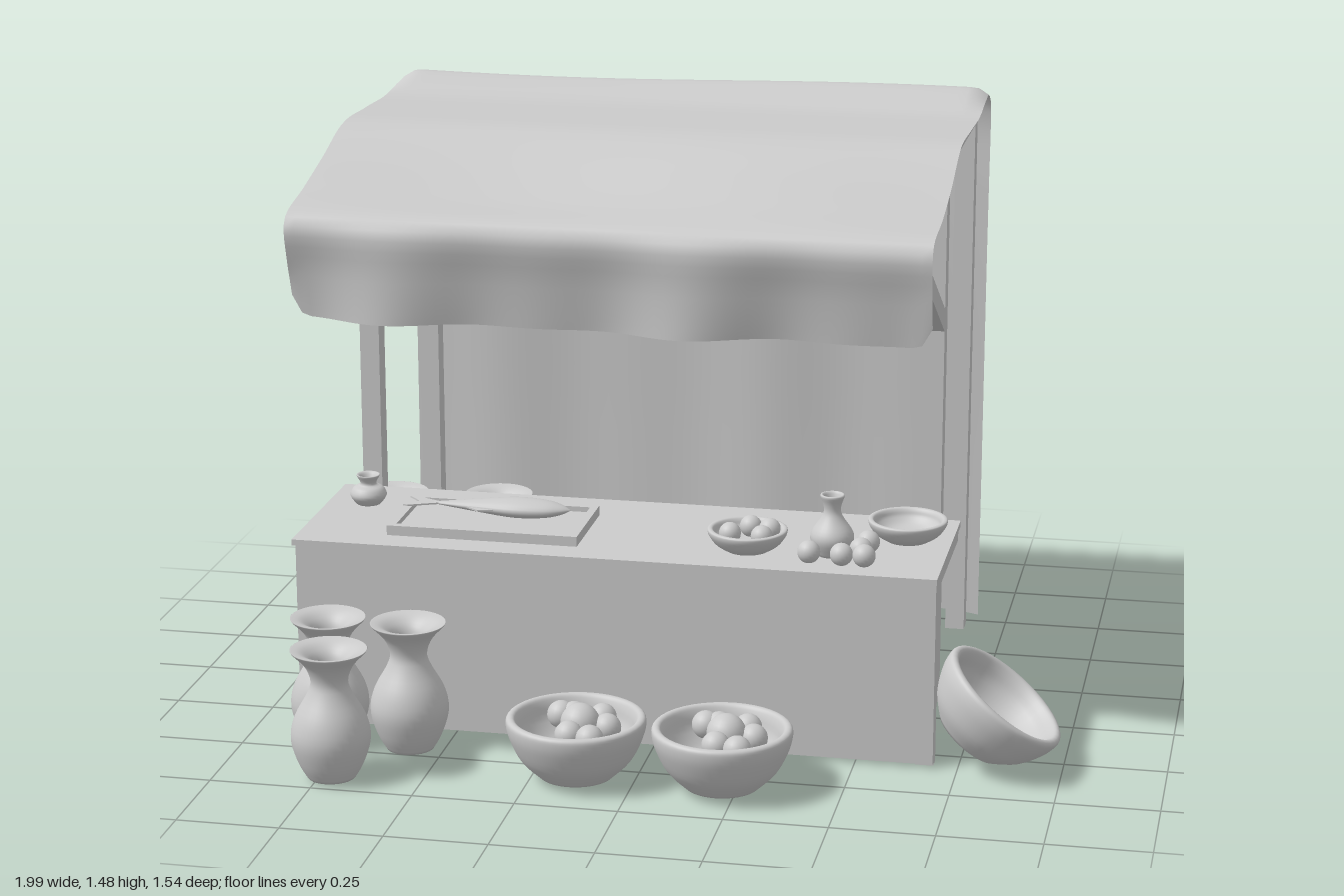
import * as THREE from 'three';

const grey = new THREE.MeshStandardMaterial({ color: 0xcccccc });
const greyThin = new THREE.MeshStandardMaterial({ color: 0xcccccc, side: THREE.DoubleSide });

export function createModel() {
  const model = new THREE.Group();

  function add(name, geometry, x = 0, y = 0, z = 0, parent = model, material = grey) {
    const mesh = new THREE.Mesh(geometry, material);
    mesh.name = name;
    mesh.position.set(x, y, z);
    parent.add(mesh);
    return mesh;
  }
  // Box given by its limits on each axis
  function box(name, x0, x1, y0, y1, z0, z1) {
    return add(name, new THREE.BoxGeometry(x1 - x0, y1 - y0, z1 - z0), (x0 + x1) / 2, (y0 + y1) / 2, (z0 + z1) / 2);
  }
  const curvePoints = (pts, n) =>
    new THREE.SplineCurve(pts.map(p => new THREE.Vector2(...p))).getPoints(n).map(p => p.setX(Math.max(p.x, 0)));

  // Timber frame: posts, side beams and awning braces on both sides
  for (const x of [-0.825, 0.62]) {
    const [a, b] = [x - 0.025, x + 0.025];
    box('middlePost', a, b, 0, 1.43, -0.152, -0.1);
    box('backPost', a, b, 0, 1.43, -0.725, -0.675);
    box('sideBeam', a, b, 1.38, 1.43, -0.675, -0.152);
    box('counterBackLeg', a, b, 0, 0.475, -0.1, -0.062);
    const brace = add('awningBrace', new THREE.BoxGeometry(0.05, 0.05, 0.575), x, 1.14, 0.14);
    brace.rotation.x = -Math.atan2(0.28, 0.5);
  }
  box('middleCrossBeam', -0.8, 0.595, 1.38, 1.43, -0.15, -0.1);
  box('backCrossBeam', -0.8, 0.595, 1.38, 1.43, -0.725, -0.675);

  // Cloth: profile from the front drape over the roof to the back hanging
  const profile = new THREE.CatmullRomCurve3([
    [1.06, 0.385], [1.18, 0.4], [1.285, 0.415], [1.312, 0.395], [1.342, 0.24], [1.382, 0.08], [1.438, -0.1],
    [1.439, -0.3], [1.437, -0.52], [1.46, -0.62], [1.468, -0.7], [1.44, -0.748], [1.38, -0.764],
    [1.2, -0.756], [1.0, -0.75], [0.5, -0.748], [0.02, -0.745],
  ].map(([y, z]) => new THREE.Vector3(0, y, z)), false, 'centripetal');
  const cols = 64, rows = 110;
  const cloth = new THREE.PlaneGeometry(1, 1, cols, rows);
  const pos = cloth.attributes.position;
  for (let i = 0; i < pos.count; i++) {
    const u = pos.getX(i) + 0.5, t = pos.getY(i) + 0.5;
    const p = profile.getPointAt(t);
    const x = -0.88 + 1.555 * u;
    let { y, z } = p;
    const w = Math.sin(x * 9 + 1) * 0.6 + Math.sin(x * 17) * 0.4;
    // Distance into the last 0.05 before either side edge, 0 to 1
    const e = Math.max(0, Math.abs(u - 0.5) * 1.555 - 0.7275) / 0.05;
    const corner = 1 - Math.sqrt(Math.max(0, 1 - e * e));
    if (z > 0.38 && y < 1.31 || y < 1.2 && z > 0) {
      // Front drape folds, with rounded lower corners
      const d = (1.31 - y) / 0.25;
      z += w * 0.038 * d;
      y += 0.05 * corner * Math.max(0, d * 2 - 1);
    } else if (z < -0.73 && y < 1.42) {
      // Back folds
      const d = Math.min(1, (1.42 - y) / 0.4);
      z += w * 0.011 * d;
      y += Math.sin(x * 11 + 2) * 0.012 * (1 - y / 1.42);
    } else {
      // Gentle sag of the awning, uneven ridge with drooping ends
      const k = Math.sin(Math.PI * THREE.MathUtils.clamp((0.39 - z) / 0.49, 0, 1));
      y += 0.012 * k * Math.sin(x * 5 + 0.5);
      if (z < -0.52) {
        const k2 = Math.min(1, (-0.52 - z) / 0.13) * THREE.MathUtils.clamp((y - 1.42) / 0.03, 0, 1);
        y += k2 * (0.007 * Math.sin(x * 3.5) - 0.018 * corner);
      }
    }
    pos.setXYZ(i, x, y, z);
  }
  cloth.computeVertexNormals();
  add('clothCanopy', cloth, 0, 0, 0, model, greyThin);

  // Counter
  box('counterTop', -0.9, 0.695, 0.475, 0.49, -0.105, 0.365);
  box('counterFrontPanel', -0.9, 0.69, 0.008, 0.475, 0.32, 0.335);
  for (const x of [-0.9, 0.645]) {
    box('counterFrontLeg', x, x + 0.045, 0, 0.475, 0.285, 0.32);
    box('counterSideRail', x, x + 0.045, 0.44, 0.475, -0.1, 0.285);
  }
  box('counterBackRail', -0.855, 0.645, 0.44, 0.475, -0.1, -0.065);

  // Vases
  const vaseGeo = new THREE.LatheGeometry([new THREE.Vector2(0, 0), ...curvePoints([
    [0.058, 0], [0.08, 0.04], [0.096, 0.1], [0.085, 0.155], [0.055, 0.21], [0.045, 0.245],
    [0.06, 0.285], [0.09, 0.318], [0.088, 0.322], [0.06, 0.312], [0.035, 0.28], [0.028, 0.2],
  ], 40), new THREE.Vector2(0, 0.17)], 32);
  for (const [x, z] of [[-0.785, 0.455], [-0.583, 0.455], [-0.718, 0.675], [-0.902, -0.57], [-0.62, -0.605]])
    add('vase', vaseGeo, x, 0.005, z);

  // Bowls
  const bowlGeo = new THREE.LatheGeometry([new THREE.Vector2(0, 0), ...curvePoints([
    [0.09, 0], [0.135, 0.045], [0.162, 0.1], [0.169, 0.135], [0.163, 0.147], [0.15, 0.146],
    [0.141, 0.128], [0.13, 0.09], [0.09, 0.045], [0, 0.035],
  ], 36)], 40);
  const ball = (r, x, y, z, parent) => add('fruit', new THREE.SphereGeometry(r, 20, 14), x, y, z, parent);
  for (const x of [-0.143, 0.213]) {
    const group = new THREE.Group();
    group.name = 'fruitBowl';
    group.position.set(x, 0.008, 0.555);
    model.add(group);
    add('bowl', bowlGeo, 0, 0, 0, group);
    for (const [bx, bz] of [[-0.053, -0.07], [-0.02, -0.07], [0.05, -0.07], [0.075, -0.005], [-0.005, 0.06], [0.05, 0.078]])
      ball(0.034, bx, 0.122, bz, group);
    ball(0.048, 0.01, 0.131, 0, group);
  }
  const leaning = add('leaningBowl', bowlGeo, 0.773, 0.075, 0.302);
  leaning.rotation.z = -0.665;

  // Small bowls, jar, pot and fruit on the counter
  for (const [x, z] of [[0.212, 0.22], [0.585, 0.07]])
    add('smallBowl', bowlGeo, x, 0.49, z).scale.set(0.58, 0.37, 0.58);
  for (const [x, z] of [[-0.04, 0.02], [0.04, 0.03], [0, -0.045], [0.05, -0.03]])
    ball(0.027, 0.212 + x, 0.535, 0.22 + z);
  const jarGeo = new THREE.LatheGeometry([new THREE.Vector2(0, 0), ...curvePoints([
    [0.035, 0], [0.052, 0.035], [0.05, 0.06], [0.03, 0.09], [0.021, 0.11], [0.023, 0.13],
    [0.03, 0.15], [0.022, 0.15], [0.014, 0.12],
  ], 28), new THREE.Vector2(0, 0.1)], 28);
  add('jar', jarGeo, 0.42, 0.49, 0.22);
  for (const [x, z] of [[0.375, 0.295], [0.455, 0.3], [0.495, 0.25], [0.51, 0.3], [0.505, 0.19]])
    ball(0.028, x, 0.518, z);
  const potGeo = new THREE.LatheGeometry([new THREE.Vector2(0, 0), ...curvePoints([
    [0.03, 0], [0.046, 0.022], [0.038, 0.042], [0.02, 0.053], [0.03, 0.075], [0.022, 0.073], [0.013, 0.055],
  ], 24), new THREE.Vector2(0, 0.05)], 24);
  add('smallPot', potGeo, -0.796, 0.49, 0.04);

  // Serving tray with a raised rim
  box('trayBase', -0.68, -0.2, 0.49, 0.502, 0.025, 0.285);
  for (const z of [0.025, 0.265]) box('trayRim', -0.68, -0.2, 0.502, 0.515, z, z + 0.02);
  for (const x of [-0.68, -0.22]) box('trayRim', x, x + 0.02, 0.502, 0.515, 0.045, 0.265);

  // Fish: mouth at the origin, body along -y, broad side facing x
  function makeFish(name, length, width) {
    const fish = new THREE.Group();
    fish.name = name;
    const body = curvePoints([[0.01, -0.87], [0.1, -0.78], [0.32, -0.55], [0.49, -0.33], [0.42, -0.15], [0.22, -0.05], [0, 0]], 24)
      .map(p => new THREE.Vector2(p.x * width, p.y * length));
    add('fishBody', new THREE.LatheGeometry(body, 20), 0, 0, 0, fish).scale.x = 0.5;
    const fin = pts => {
      const geo = new THREE.ExtrudeGeometry(new THREE.Shape(pts.map(([a, b]) => new THREE.Vector2(a * width, b * length))),
        { depth: 0.004, bevelEnabled: false });
      geo.translate(0, 0, -0.002).rotateY(-Math.PI / 2);
      return geo;
    };
    add('fishTail', fin([[-0.07, -0.8], [-0.4, -0.97], [-0.36, -1], [0, -0.92], [0.36, -1], [0.4, -0.97], [0.07, -0.8]]), 0, 0, 0, fish);
    for (const s of [-1, 1])
      add('fishFin', fin([[s * 0.38, -0.42], [s * 0.5, -0.54], [s * 0.25, -0.62]]), 0, 0, 0, fish, greyThin);
    model.add(fish);
    return fish;
  }
  const trayFish = makeFish('trayFish', 0.42, 0.095);
  trayFish.position.set(-0.245, 0.538, 0.15);
  trayFish.rotation.z = -Math.PI / 2;

  // Line of hanging fish on the right side, each turned a little
  const rope = new THREE.CatmullRomCurve3([[1.32, -0.12], [1.295, -0.25], [1.275, -0.42], [1.285, -0.55], [1.32, -0.69]]
    .map(([y, z]) => new THREE.Vector3(-0.866, y, z)));
  add('rope', new THREE.TubeGeometry(rope, 30, 0.003, 6));
  for (const [z, top, bottom, width, turn] of [
    [-0.175, 1.315, 1.135, 0.047, 0.25], [-0.24, 1.3, 1.125, 0.048, -0.2], [-0.325, 1.285, 1.065, 0.054, 0.15],
    [-0.415, 1.275, 1.055, 0.052, -0.25], [-0.5, 1.278, 1.0, 0.064, 0.2], [-0.617, 1.303, 0.952, 0.094, -0.15],
  ]) {
    const fish = makeFish('hangingFish', top - bottom, width);
    fish.position.set(-0.868, top, z);
    fish.rotation.y = turn;
  }

  return model;
}
